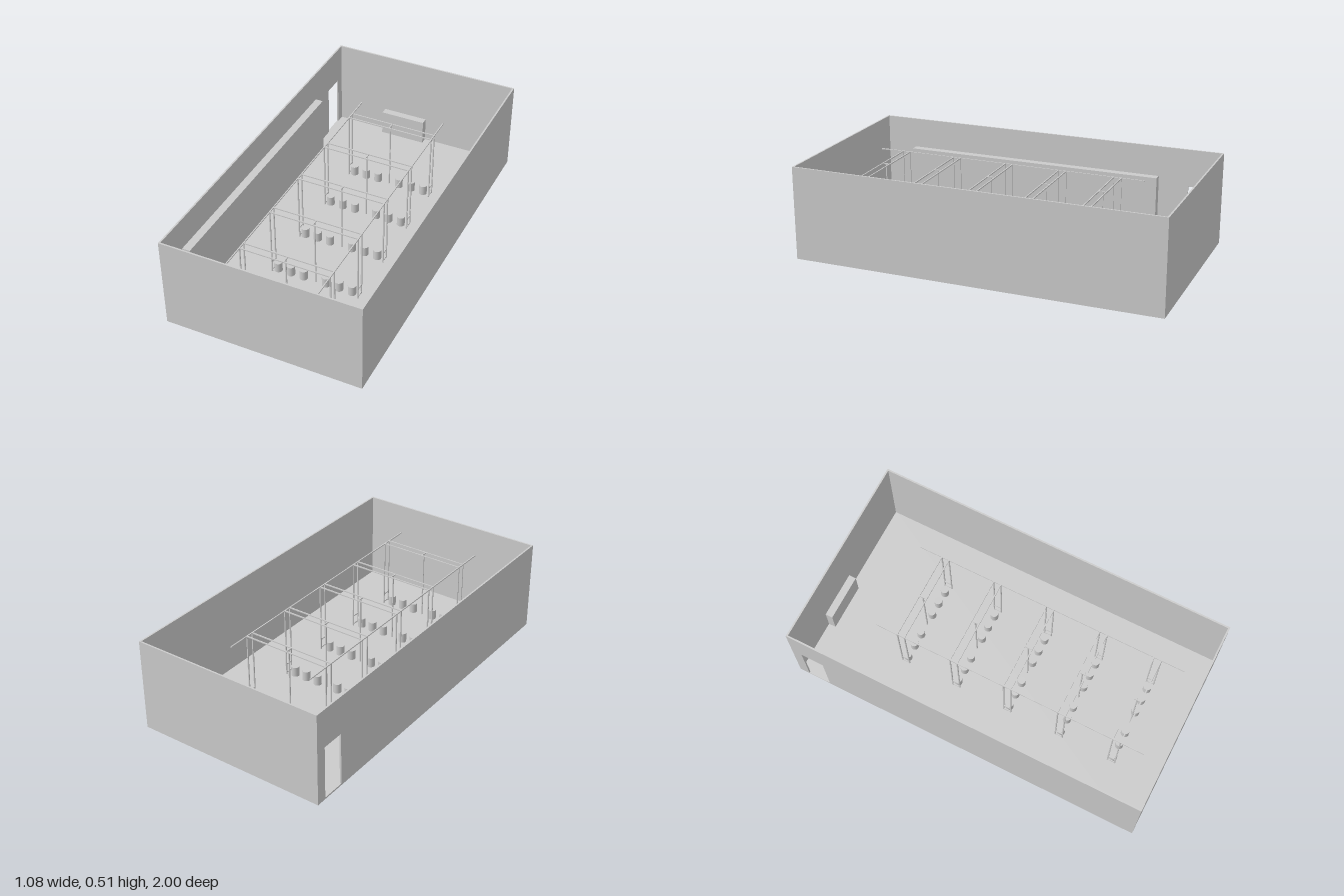
import * as THREE from 'three';

const material = new THREE.MeshStandardMaterial({ color: 0xcccccc });

export function createModel() {
  const model = new THREE.Group();
  model.name = 'showroom';

  // Box given by its min and max corners
  const box = (name, x0, x1, y0, y1, z0, z1, parent = model) => {
    const mesh = new THREE.Mesh(new THREE.BoxGeometry(x1 - x0, y1 - y0, z1 - z0), material);
    mesh.position.set((x0 + x1) / 2, (y0 + y1) / 2, (z0 + z1) / 2);
    mesh.name = name;
    parent.add(mesh);
    return mesh;
  };

  // Room shell, open at the top
  const W = 0.5375, H = 0.508, T = 0.009;
  box('floor', -W, W, 0, T, -1, 1);
  box('frontWall', -W, W, T, H, 1 - T, 1);
  box('backWall', -W, W, T, H, -1, -1 + T);
  box('leftWall', W - T, W, T, H, -1 + T, 1 - T);

  // Right wall with a doorway near the back
  const doorBack = -0.943, doorFront = -0.815, doorTop = 0.3;
  const rightWall = new THREE.Group();
  rightWall.name = 'rightWall';
  model.add(rightWall);
  box('wallBehindDoor', -W, -W + T, T, H, -1 + T, doorBack, rightWall);
  box('wallAboveDoor', -W, -W + T, doorTop, H, doorBack, doorFront, rightWall);
  box('wallBesideDoor', -W, -W + T, T, H, doorFront, 1 - T, rightWall);

  // Counters against the walls
  box('longCabinet', -W + T, -0.485, T, 0.34, -0.65, 0.82);
  box('backCounter', -0.24, 0.02, T, 0.15, -1 + T, -0.95);

  // Two long overhead rails
  const r = 0.003, railY = 0.4, xEnds = [-0.238, 0.255];
  const bar = (name, x0, x1, y0, y1, z0, z1, parent) =>
    box(name, x0 - r, x1 + r, y0 - r, y1 + r, z0 - r, z1 + r, parent);
  for (const x of xEnds) bar('longRail', x, x, railY, railY, -0.65, 0.885, model);

  // Five rack stations, each with posts, crossbars and a row of stools
  const stoolGeometry = new THREE.CylinderGeometry(0.022, 0.022, 0.055, 24);
  for (let i = 0; i < 5; i++) {
    const station = new THREE.Group();
    station.name = 'rackStation';
    station.position.z = -0.505 + i * 0.31;
    model.add(station);
    for (const z of [-0.021, 0.021]) {
      bar('crossbar', xEnds[0], xEnds[1], railY, railY, z, z, station);
      for (const x of xEnds) bar('post', x, x, T, railY, z, z, station);
    }
    for (const x of xEnds)
      for (const y of [0.02, 0.07]) bar('lowTie', x, x, y, y, -0.021, 0.021, station);
    bar('centrePost', 0.005, 0.005, T, railY, 0, 0, station);
    bar('centreTie', 0.005, 0.005, railY, railY, -0.021, 0.021, station);
    for (const x of [-0.213, -0.139, -0.065, 0.064, 0.138, 0.212]) {
      const stool = new THREE.Mesh(stoolGeometry, material);
      stool.name = 'stool';
      stool.position.set(x, T + 0.0275, 0);
      station.add(stool);
    }
  }
  return model;
}
